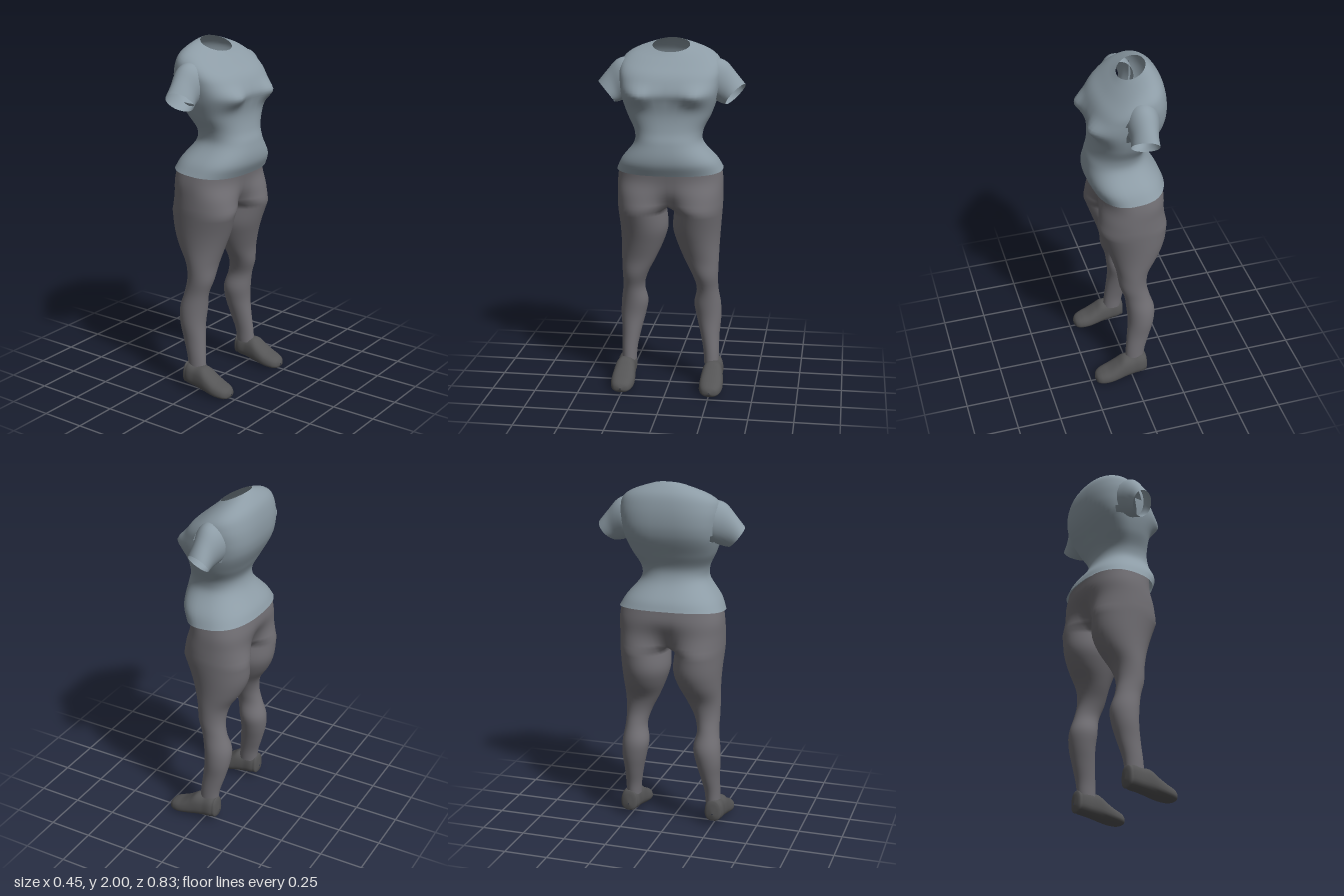
import * as THREE from 'three';
import { mergeGeometries, mergeVertices } from 'three/addons/utils/BufferGeometryUtils.js';

const shirtMat = new THREE.MeshStandardMaterial({ color: 0x8d9ca6, side: THREE.DoubleSide });
shirtMat.name = 'blue grey cloth';
const pantsMat = new THREE.MeshStandardMaterial({ color: 0x727075, side: THREE.DoubleSide });
pantsMat.name = 'warm grey cloth';
const shoeMat = new THREE.MeshStandardMaterial({ color: 0x555556 });
shoeMat.name = 'dark grey';

// Smoothly resample table rows; the first column is the ascending parameter.
function resample(rows, count) {
  const width = rows[0].length;
  const curve = new THREE.CubicInterpolant(rows.map(r => r[0]), rows.flat(), width, new Float32Array(width));
  const first = rows[0][0], last = rows[rows.length - 1][0];
  return Array.from({ length: count + 1 }, (_, i) =>
    Array.from(curve.evaluate(first + (last - first) * i / count)));
}

// Skin a list of closed rings of points; keep() may leave faces out.
function loft(rings, keep = () => true) {
  const n = rings[0].length, index = [];
  for (let i = 0; i < rings.length - 1; i++) {
    for (let j = 0; j < n; j++) {
      const k = (j + 1) % n;
      if (!keep(i, j, rings[i][j])) continue;
      const a = i * n + j, b = i * n + k, c = a + n, d = b + n;
      index.push(a, c, b, b, c, d);
    }
  }
  const geo = new THREE.BufferGeometry();
  geo.setAttribute('position', new THREE.Float32BufferAttribute(rings.flat(2), 3));
  geo.setIndex(index);
  geo.computeVertexNormals();
  return geo;
}

// Copy to the other side of the body, turning the faces round.
function mirrored(geo) {
  const copy = geo.clone().scale(1, 1, -1);
  const ix = copy.index.array;
  for (let i = 0; i < ix.length; i += 3) [ix[i], ix[i + 1]] = [ix[i + 1], ix[i]];
  copy.computeVertexNormals();
  return copy;
}

const ringOf = (n, fn) => Array.from({ length: n }, (_, j) => fn(j * 2 * Math.PI / n, j));
const soft = (v, e) => Math.sign(v) * Math.abs(v) ** (2 / e);
const bell = (v, w) => Math.exp(-((v / w) ** 2));

// Shirt body: height, back x, front x, half width, forward slope, squareness
function shirtBody() {
  const rows = resample([
    [1.285, -0.225, 0.17, 0.3, 0.08, 2.5],
    [1.34, -0.205, 0.2, 0.272, 0.03, 2.5],
    [1.45, -0.13, 0.195, 0.19, 0, 2.4],
    [1.51, -0.12, 0.178, 0.192, 0, 2.4],
    [1.6, -0.16, 0.168, 0.235, 0, 2.6],
    [1.68, -0.2, 0.178, 0.262, 0, 2.9],
    [1.72, -0.215, 0.186, 0.27, 0, 3],
    [1.78, -0.226, 0.17, 0.279, 0.02, 2.9],
    [1.85, -0.222, 0.135, 0.283, 0.12, 2.6],
    [1.905, -0.202, 0.088, 0.262, 0.25, 2.3],
    [1.94, -0.172, 0.05, 0.208, 0.34, 2.1],
    [1.957, -0.153, 0.03, 0.155, 0.41, 2],
    [1.97, -0.135, 0.015, 0.105, 0.45, 2]
  ], 52);
  const rings = rows.map(([y, back, front, half, slope, e]) => ringOf(48, t => {
    const r = (front - back) / 2;
    const dx = r * soft(Math.cos(t), e), z = half * soft(Math.sin(t), e);
    const bust = dx > 0 ? 0.042 * bell(y - 1.71, 0.05) * bell(Math.abs(z) - 0.155, 0.07) : 0;
    return [(front + back) / 2 + dx + bust, y - slope * dx, z];
  }));
  // leave the armholes open
  return loft(rings, (i, j, [x, y, z]) =>
    !(Math.abs(z) > 0.17 && x > -0.12 && x < 0.02 && y > 1.675 && y < 1.84));
}

// Sleeve: step, top y, top z, bottom y, bottom z, back x, front x
function sleeve() {
  const rows = resample([
    [0, 1.89, 0.2, 1.675, 0.215, -0.14, 0.04],
    [1, 1.902, 0.255, 1.668, 0.243, -0.14, 0.04],
    [2, 1.883, 0.309, 1.66, 0.27, -0.126, 0.034],
    [3, 1.825, 0.36, 1.652, 0.292, -0.11, 0.029],
    [4, 1.762, 0.41, 1.648, 0.317, -0.105, 0.036]
  ], 14);
  return loft(rows.map(([step, ty, tz, by, bz, back, front]) => ringOf(32, t => {
    const c = Math.cos(t), s = Math.sin(t);
    return [(front + back) / 2 + (front - back) / 2 * s, (ty + by) / 2 + (ty - by) / 2 * c,
      (tz + bz) / 2 + (tz - bz) / 2 * c - 0.006 * step * s];
  })));
}

// Half of the trousers: one leg opening into half of the hips
function trouserHalf() {
  // height, back x, front x, inner z, outer z
  const legRows = resample([
    [0.13, -0.075, 0.035, 0.2, 0.285],
    [0.2, -0.085, 0.03, 0.195, 0.285],
    [0.3, -0.115, 0.02, 0.175, 0.286],
    [0.4, -0.14, 0.012, 0.15, 0.294],
    [0.48, -0.145, 0.018, 0.136, 0.291],
    [0.58, -0.115, 0.032, 0.152, 0.277],
    [0.66, -0.1, 0.058, 0.13, 0.277],
    [0.75, -0.115, 0.07, 0.085, 0.28],
    [0.85, -0.178, 0.098, 0.04, 0.283],
    [0.93, -0.212, 0.125, 0.016, 0.288],
    [1.05, -0.224, 0.165, 0.024, 0.298]
  ], 40);
  // height, back x, front x, outer z, how far the two legs show in the shape
  const hipRows = resample([
    [1.075, -0.224, 0.169, 0.3, 0.9],
    [1.15, -0.221, 0.164, 0.3, 0.45],
    [1.23, -0.223, 0.146, 0.298, 0.1],
    [1.31, -0.21, 0.15, 0.286, 0]
  ], 12);
  const N = 36;
  const legs = legRows.map(([y, back, front, inner, outer]) => ringOf(N, t => [
    (front + back) / 2 + (front - back) / 2 * Math.cos(t), y,
    (inner + outer) / 2 + (outer - inner) / 2 * Math.sin(t)]));
  const hips = hipRows.map(([y, back, front, outer, split]) => ringOf(N, (t, j) => {
    const cx = (front + back) / 2, r = (front - back) / 2;
    const k = j >= 30 ? j - N : j;
    if (k > 24) { // bridge between the legs
      return [cx + r * (1 - split / 2) * ((k - 27) / 3), y, 0];
    }
    const u = (k + 6) / 30 * Math.PI;
    const x = THREE.MathUtils.lerp(soft(Math.cos(u), 2.5), Math.cos(t), split);
    const z = THREE.MathUtils.lerp(soft(Math.sin(u), 2.5), (1 + Math.sin(t)) / 2, split);
    return [cx + r * x, y, k === 24 || k === -6 ? 0 : outer * z];
  }));
  return loft([...legs, ...hips], (i, j) => i < legs.length || j < 24 || j >= 30);
}

// Shoe: x, sole y, top y, half width
function shoe() {
  const rows = resample([
    [-0.092, 0.075, 0.085, 0.002],
    [-0.087, 0.047, 0.135, 0.034],
    [-0.065, 0.036, 0.158, 0.054],
    [0, 0.026, 0.155, 0.06],
    [0.05, 0.018, 0.153, 0.066],
    [0.09, 0.012, 0.124, 0.071],
    [0.14, 0.006, 0.092, 0.073],
    [0.18, 0.003, 0.076, 0.066],
    [0.205, 0.004, 0.064, 0.053],
    [0.22, 0.011, 0.05, 0.032],
    [0.227, 0.026, 0.034, 0.003]
  ], 64);
  return loft(rows.map(([x, low, high, half]) => ringOf(28, t => {
    const s = soft(Math.sin(t), 2.5);
    return [x, (low + high) / 2 + (high - low) / 2 * s,
      0.256 + half * soft(Math.cos(t), 2.5) * (1 - 0.16 * (s + 1) / 2)];
  })));
}

export function createModel() {
  const group = new THREE.Group();
  group.name = 'clothedFigure';
  const add = (name, geo, mat) => {
    const mesh = new THREE.Mesh(geo, mat);
    mesh.name = name;
    group.add(mesh);
  };

  add('shirtBody', shirtBody(), shirtMat);

  const half = trouserHalf();
  const trousers = mergeGeometries([half, mirrored(half)]);
  trousers.deleteAttribute('normal');
  const welded = mergeVertices(trousers, 1e-4);
  welded.computeVertexNormals();
  add('trousers', welded, pantsMat);

  for (const [name, geo, mat] of [['Sleeve', sleeve(), shirtMat], ['Shoe', shoe(), shoeMat]]) {
    add('left' + name, mirrored(geo), mat);
    add('right' + name, geo, mat);
  }
  return group;
}
